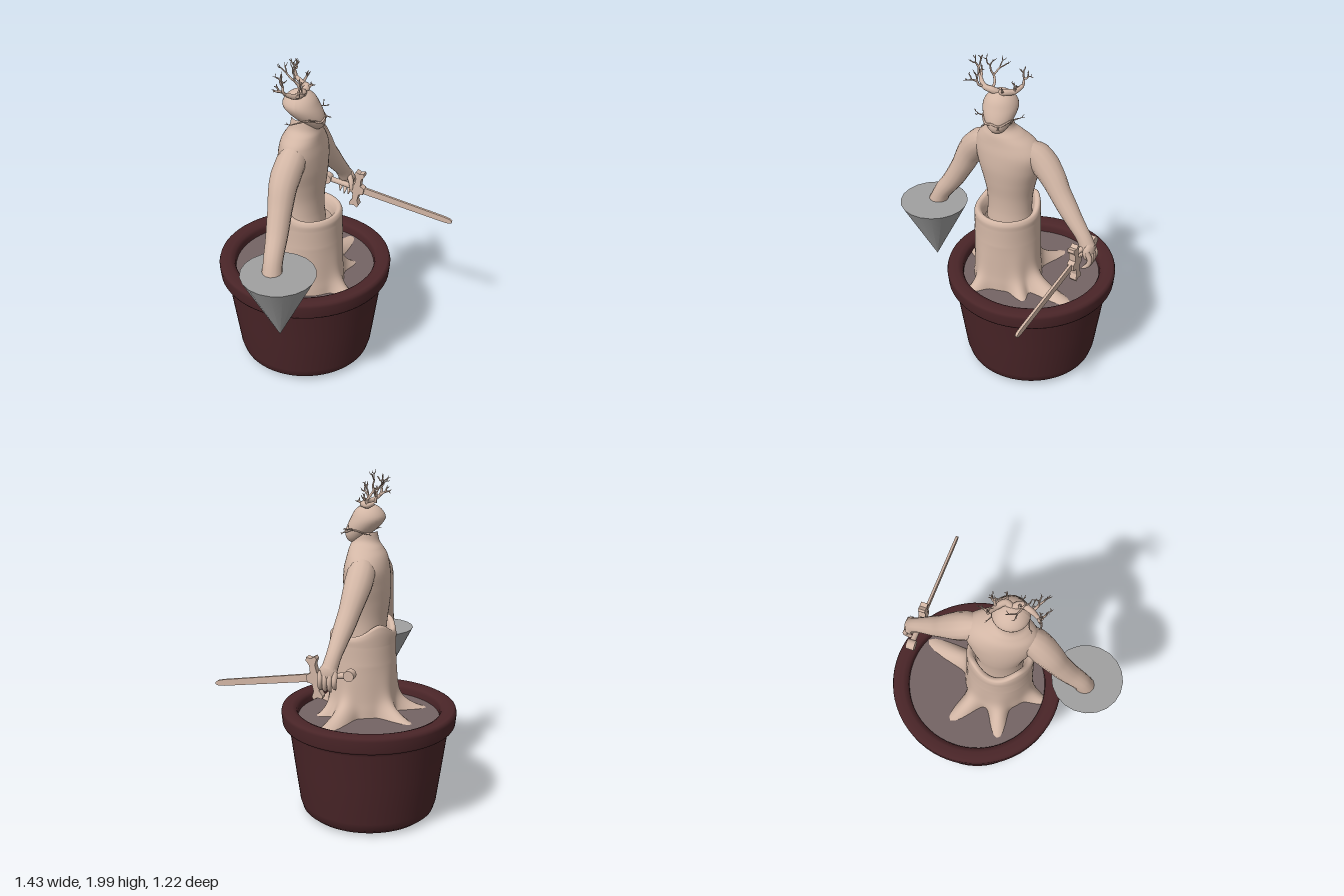
import * as THREE from 'three';
import { ParametricGeometry } from 'three/addons/geometries/ParametricGeometry.js';

const V = (x, y, z) => new THREE.Vector3(x, y, z);
const mat = (color, extra = {}) => new THREE.MeshStandardMaterial({ color, ...extra });
const wood = mat(0xd2b6a5), openWood = mat(0xd2b6a5, { side: THREE.DoubleSide });
const clay = mat(0x4a2528, { side: THREE.DoubleSide });
const earth = mat(0x746464), grey = mat(0xa0a0a0);

let seed = 11;
const rand = () => (seed = (seed * 16807) % 2147483647) / 2147483647;

function add(parent, name, geometry, material = wood) {
  const mesh = new THREE.Mesh(geometry, material);
  mesh.name = name;
  parent.add(mesh);
  return mesh;
}

// Round tube along a smooth path, its radius read from a list spread along the path
function taperTube(points, radii, sides = 14, steps = 28) {
  const curve = new THREE.CatmullRomCurve3(points);
  const geo = new THREE.TubeGeometry(curve, steps, 1, sides);
  const pos = geo.attributes.position, p = V(), n = V();
  for (let i = 0; i <= steps; i++) {
    const c = curve.getPointAt(i / steps), f = (i / steps) * (radii.length - 1);
    const k = Math.min(Math.floor(f), radii.length - 2);
    const r = THREE.MathUtils.lerp(radii[k], radii[k + 1], f - k);
    for (let j = 0; j <= sides; j++) {
      const id = i * (sides + 1) + j;
      n.fromBufferAttribute(pos, id).sub(c);
      p.copy(c).addScaledVector(n, r);
      pos.setXYZ(id, p.x, p.y, p.z);
    }
  }
  return geo;
}

// Forking twig
function twig(parent, name, start, dir, length, radius, depth) {
  const jitter = (s) => V(rand() - 0.5, rand() - 0.5, rand() - 0.5).multiplyScalar(s);
  const end = start.clone().addScaledVector(dir, length);
  const mid = start.clone().lerp(end, 0.5).add(jitter(length * 0.35));
  const tip = depth ? radius * 0.7 : 0.001;
  add(parent, name, taperTube([start, mid, end], [radius, (radius + tip) / 2, tip], 6, 5));
  if (!depth) return;
  const side = V(rand() - 0.5, 0.25, rand() - 0.5).normalize();
  for (const s of [1, -1]) {
    const d = dir.clone().addScaledVector(side, s * 0.8).add(jitter(0.5));
    d.y += 0.25;
    twig(parent, name, end, d.normalize(), length * 0.72, radius * 0.7, depth - 1);
  }
}

function makePot() {
  const pot = new THREE.Group();
  pot.name = 'pot';
  pot.position.set(-0.108, 0, -0.1);
  const profile = [[0, 0.015], [0.32, 0.008], [0.365, 0.016], [0.393, 0.04], [0.408, 0.09], [0.44, 0.33],
    [0.466, 0.53], [0.473, 0.558], [0.5, 0.558], [0.507, 0.57], [0.513, 0.635], [0.508, 0.653], [0.495, 0.66],
    [0.45, 0.66], [0.425, 0.65], [0.416, 0.63], [0.414, 0.59]].map(([r, y]) => new THREE.Vector2(r, y));
  add(pot, 'potWall', new THREE.LatheGeometry(profile, 64), clay);
  const soil = add(pot, 'soil', new THREE.CircleGeometry(0.418, 64), earth);
  soil.rotation.x = -Math.PI / 2;
  soil.position.y = 0.6;
  return pot;
}

// Hollow stump whose foot spreads into roots and whose rim is broken at the back
function makeStump() {
  const roots = [[-0.32, -0.205], [-0.08, -0.395], [0.43, -0.255], [0.31, 0], [0.13, 0.285], [-0.28, 0.16]];
  const peaks = [[-0.18, 0.0], [0.0, -0.2]];
  const lobe = (a, [x, z], width) => {
    const d = a - Math.atan2(z, x);
    return Math.exp(-((Math.atan2(Math.sin(d), Math.cos(d)) / width) ** 2));
  };
  const profile = new THREE.CatmullRomCurve3([[0.135, 1.0], [0.148, 1.05], [0.165, 1.075], [0.182, 1.078],
    [0.194, 1.06], [0.195, 1.02], [0.198, 0.92], [0.21, 0.8], [0.222, 0.7], [0.232, 0.64], [0.24, 0.58]]
    .map(([r, y]) => V(r, y, 0)));
  const geo = new ParametricGeometry((u, v, out) => {
    const a = u * Math.PI * 2, p = profile.getPoint(v);
    const low = THREE.MathUtils.clamp((0.92 - p.y) / 0.32, 0, 1.03);
    let r = p.x, y = p.y;
    for (const root of roots) {
      const reach = Math.hypot(...root) - 0.225;
      r += lobe(a, root, 0.32 - 0.13 * low) * (reach * low ** 7 + 0.02 * low);
    }
    r -= 0.03 * low;
    if (p.y > 1.03) for (const k of peaks) y += 0.07 * lobe(a, k, 0.52) * Math.min(1, (p.y - 1.03) / 0.04);
    out.set(r * Math.cos(a), y, r * Math.sin(a));
  }, 120, 60);
  const stump = add(new THREE.Group(), 'stump', geo, openWood);
  stump.position.set(-0.148, 0, 0.035);
  return stump;
}

function makeAntlers() {
  const antlers = new THREE.Group();
  antlers.name = 'antlers';
  const left = [V(0, 0, 0.01), V(0.035, 0.02, 0.025), V(0.075, 0.018, -0.01), V(0.105, 0.04, -0.06)];
  const right = [V(0, 0, 0.01), V(-0.04, 0.022, 0.03), V(-0.1, 0.02, 0.01), V(-0.145, 0.045, -0.03)];
  for (const path of [left, right]) add(antlers, 'antlerBeam', taperTube(path, [0.02, 0.019, 0.016, 0.01], 8, 14));
  // Each stem: start, direction, length, forks
  const stems = [[right[3], [-0.25, 0.9, -0.15], 0.05, 3], [right[2], [-0.5, 0.6, 0.5], 0.05, 3],
    [right[1], [-0.15, 0.85, -0.6], 0.078, 3], [right[3], [-0.3, 0.5, -0.7], 0.035, 2],
    [left[3], [0.05, 0.9, -0.2], 0.04, 3], [left[2], [0.3, 0.8, 0.3], 0.035, 2],
    [left[1], [0, 0.5, 0.8], 0.03, 1]];
  for (const [start, dir, length, forks] of stems)
    twig(antlers, 'antlerTwig', start, V(...dir).normalize(), length, 0.009, forks);
  antlers.scale.y = 0.205 / new THREE.Box3().setFromObject(antlers).max.y;
  antlers.position.y = 0.085;
  return antlers;
}

function makeHead() {
  const head = new THREE.Group();
  head.name = 'head';
  head.position.set(-0.048, 1.71, 0);
  // Cranium narrowing into a long forward jaw
  const skull = new THREE.SphereGeometry(1, 32, 24), pos = skull.attributes.position;
  for (let i = 0; i < pos.count; i++) {
    const x = pos.getX(i), y = pos.getY(i), z = pos.getZ(i), t = THREE.MathUtils.smoothstep(-y, -0.4, 1);
    pos.setXYZ(i, x * 0.104 * (1 - 0.28 * t) + 0.02 * t, y * (y < 0 ? 0.12 : 0.105),
      z * 0.103 * (1 - 0.2 * t) + 0.078 * t);
  }
  skull.computeVertexNormals();
  add(head, 'skull', skull);
  head.add(makeAntlers());

  // Twiggy whiskers sweeping from the mouth round the cheeks
  for (const s of [-1, 1]) {
    const path = [V(0.01, -0.045, 0.13), V(0.01 + s * 0.04, -0.055, 0.124), V(0.01 + s * 0.085, -0.035, 0.07),
      V(s * 0.1, -0.055, -0.01)];
    add(head, 'whisker', taperTube(path, [0.006, 0.006, 0.005, 0.003], 6, 14));
    twig(head, 'whiskerTwig', path[2], V(s * 0.7, 0.3, 0.6).normalize(), 0.028, 0.004, 2);
    twig(head, 'whiskerTwig', path[3], V(s * 0.5, 0.1, -0.8).normalize(), 0.026, 0.003, 1);
    twig(head, 'whiskerTwig', path[1], V(s * 0.4, -0.3, 0.8).normalize(), 0.02, 0.004, 1);
  }
  return head;
}

function makeFigure() {
  const figure = new THREE.Group();
  figure.name = 'figure';
  figure.position.set(-0.16, 0, 0.02);
  figure.rotation.y = Math.PI / 4;

  // Torso sections from neck to waist: height, sideways shift, forward shift, half width, half depth
  const rows = [[1.66, -0.04, 0.015, 0.066, 0.066], [1.605, -0.04, 0.015, 0.08, 0.078],
    [1.57, -0.03, 0.01, 0.125, 0.095], [1.525, -0.015, 0, 0.178, 0.113], [1.46, 0, -0.003, 0.207, 0.128],
    [1.37, 0, -0.005, 0.192, 0.135], [1.27, 0, -0.008, 0.162, 0.13], [1.17, 0, -0.008, 0.14, 0.118],
    [1.08, 0, -0.005, 0.135, 0.113], [1.0, 0, 0, 0.14, 0.115]];
  const size = new THREE.CatmullRomCurve3(rows.map(([y, , , w, d]) => V(w, y, d)));
  const shift = new THREE.CatmullRomCurve3(rows.map(([y, cx, cz]) => V(cx, y, cz)));
  add(figure, 'torso', new ParametricGeometry((u, v, out) => {
    const a = u * Math.PI * 2, p = size.getPoint(v), c = shift.getPoint(v);
    out.set(c.x + p.x * Math.cos(a), p.y, c.z + p.z * Math.sin(a));
  }, 40, 44));
  figure.add(makeHead());

  add(figure, 'rightArm', taperTube([V(-0.09, 1.5, 0), V(-0.185, 1.452, -0.01), V(-0.268, 1.358, -0.025),
    V(-0.33, 1.24, -0.025), V(-0.4, 1.12, -0.02), V(-0.48, 1.01, -0.015), V(-0.525, 0.9, -0.01)],
    [0.04, 0.08, 0.082, 0.074, 0.066, 0.062, 0.056, 0.052, 0.062]));
  add(figure, 'leftArm', taperTube([V(0.09, 1.5, 0), V(0.185, 1.448, -0.01), V(0.27, 1.36, 0),
    V(0.345, 1.255, 0.02), V(0.435, 1.145, 0.045), V(0.515, 1.05, 0.065), V(0.545, 1.0, 0.075)],
    [0.04, 0.08, 0.08, 0.071, 0.062, 0.058, 0.05, 0.043, 0.045]));

  // Left hand closed round the hilt
  const palm = add(figure, 'leftPalm', new THREE.SphereGeometry(1, 18, 14));
  palm.scale.set(0.033, 0.062, 0.052);
  palm.position.set(0.553, 0.985, 0.078);
  for (let i = 0; i < 4; i++) {
    const z = 0.038 + i * 0.027, drop = [0.015, 0, 0, 0.01][i];
    add(figure, 'leftFinger', taperTube([V(0.56, 1.0, z), V(0.578, 0.95, z), V(0.568, 0.905 + drop, z + 0.003),
      V(0.53, 0.872 + drop, z + 0.005)], [0.014, 0.016, 0.014, 0.012, 0.003], 10, 14));
  }
  add(figure, 'leftThumb', taperTube([V(0.545, 1.02, 0.09), V(0.505, 0.99, 0.12), V(0.49, 0.945, 0.13),
    V(0.5, 0.91, 0.125)], [0.016, 0.017, 0.013, 0.003], 10, 14));
  return figure;
}

// Plate drawn as (distance along sword, height), thickness centred on the sword plane
function plate(points, thickness) {
  const shape = new THREE.Shape(points.map(([a, h]) => new THREE.Vector2(a, h)));
  return new THREE.ExtrudeGeometry(shape, { depth: thickness, bevelEnabled: false })
    .translate(0, 0, -thickness / 2).rotateY(-Math.PI / 2);
}

function makeSword() {
  const sword = new THREE.Group();
  sword.name = 'sword';
  sword.position.set(0.178, 0.975, -0.378);
  sword.lookAt(0.705, 0.84, 0.235);
  const mirrored = (e) => [...e, ...e.map(([a, h]) => [a, -h]).reverse()];
  const edge = [[0.2, 0.022], [0.77, 0.018], [0.805, 0.015], [0.822, 0.006]];
  add(sword, 'blade', plate(mirrored(edge), 0.015));
  const half = [[0.165, 0.02], [0.19, 0.03], [0.193, 0.075], [0.178, 0.105], [0.185, 0.122], [0.21, 0.112],
    [0.235, 0.122], [0.242, 0.105], [0.226, 0.075], [0.229, 0.03], [0.255, 0.02]];
  add(sword, 'crossguard', plate(mirrored(half), 0.042));
  add(sword, 'grip', new THREE.CylinderGeometry(0.017, 0.017, 0.2, 16).rotateX(Math.PI / 2)).position.z = 0.1;
  add(sword, 'pommel', new THREE.CylinderGeometry(0.03, 0.03, 0.05, 20).rotateZ(Math.PI / 2)).position.z = 0.01;
  return sword;
}

export function createModel() {
  const model = new THREE.Group();
  model.name = 'pottedStumpFigure';
  model.add(makePot(), makeStump(), makeFigure(), makeSword());
  const cone = add(model, 'cone', new THREE.ConeGeometry(0.206, 0.405, 20), grey);
  cone.rotation.x = Math.PI;
  cone.position.set(-0.507, 0.756, 0.402);
  return model;
}
